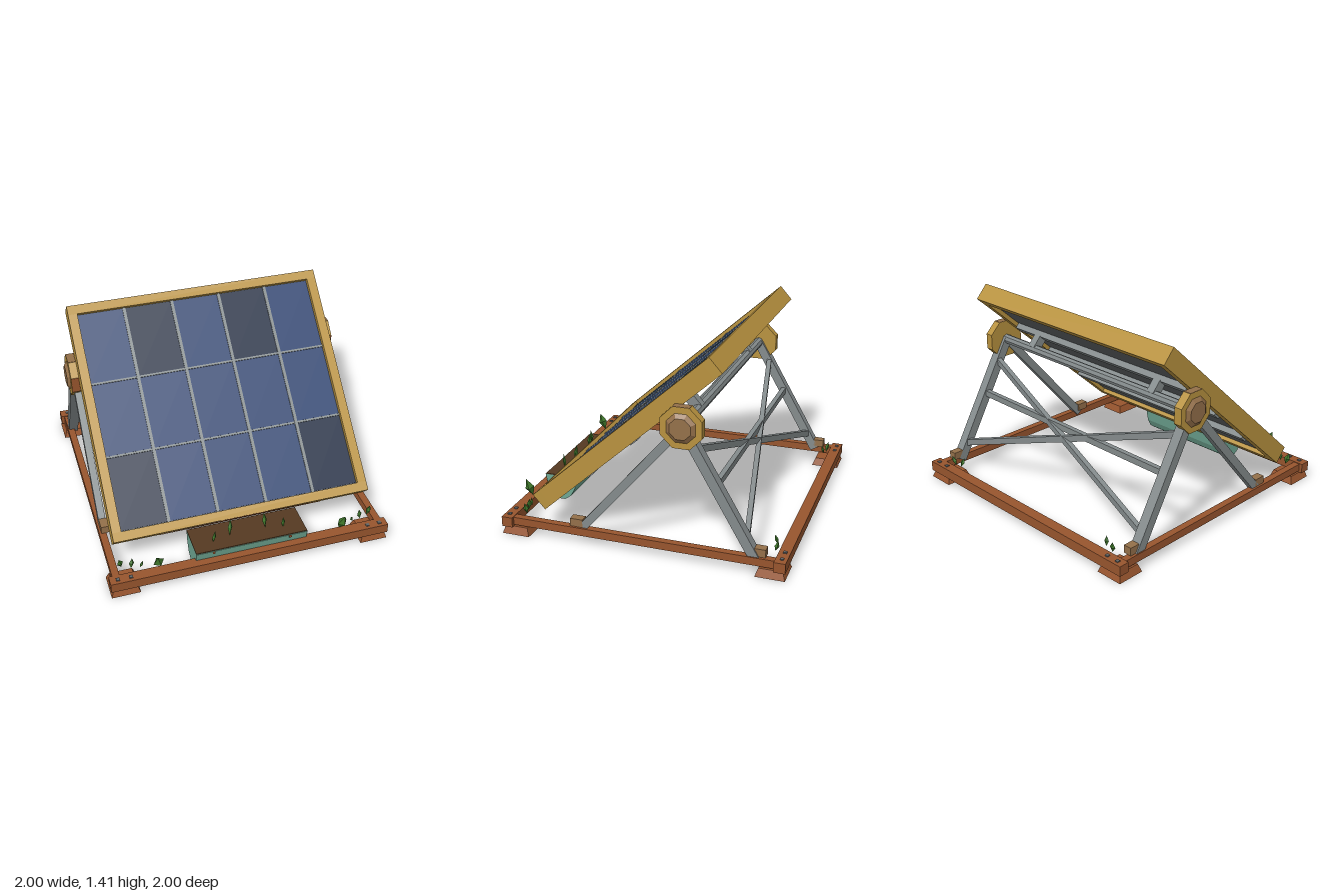
import * as THREE from 'three';

const mat = (name, color, extra = {}) => {
  const m = new THREE.MeshStandardMaterial({ color, flatShading: true, ...extra });
  m.name = name;
  return m;
};

export function createModel() {
  const gold = mat('gold', 0xb8923f);
  const rust = mat('rust', 0x98552e);
  const steel = mat('steel', 0x848b8c);
  const darkSteel = mat('darkSteel', 0x606566);
  const blue = mat('cellBlue', 0x25406f);
  const navy = mat('cellNavy', 0x0c2340);
  const brown = mat('bronze', 0x94704a);
  const teal = mat('teal', 0x6fa793);
  const soil = mat('soil', 0x553a22);
  const green = mat('leafGreen', 0x40792c);

  const model = new THREE.Group();
  model.name = 'solarPanelStand';
  const add = (name, geo, material, x = 0, y = 0, z = 0, parent = model) => {
    const m = new THREE.Mesh(geo, material);
    m.name = name;
    m.position.set(x, y, z);
    parent.add(m);
    return m;
  };
  const box = (name, w, h, d, material, x, y, z, parent) =>
    add(name, new THREE.BoxGeometry(w, h, d), material, x, y, z, parent);
  // Straight bar between two points
  const bar = (name, a, b, w, t, material) => {
    const p = new THREE.Vector3(...a), q = new THREE.Vector3(...b);
    const m = box(name, w, t, p.distanceTo(q), material, ...p.clone().add(q).multiplyScalar(0.5).toArray());
    m.lookAt(q);
    return m;
  };

  // Base frame, feet and bolts
  for (const s of [1, -1]) {
    box('endBeam', 2, 0.072, 0.078, rust, 0, 0.09, s * 0.961);
    box('sideBeam', 0.05, 0.056, 1.86, rust, s * 0.95, 0.093, 0);
    for (const t of [1, -1]) {
      const foot = new THREE.CylinderGeometry(0.08 * Math.SQRT2, 0.1 * Math.SQRT2, 0.056, 4);
      foot.rotateY(Math.PI / 4);
      add('foot', foot, rust, s * 0.9, 0.028, t * 0.9);
      for (const x of [0.855, 0.945])
        box('bolt', 0.024, 0.008, 0.024, darkSteel, s * x, 0.129, t * 0.965);
    }
  }

  // Side legs, clamps and pivots
  const pivotY = 0.947, pivotZ = -0.3;
  for (const s of [1, -1]) {
    bar('frontLeg', [s * 0.935, 0.1, 0.43], [s * 0.935, pivotY, pivotZ], 0.05, 0.058, steel);
    bar('rearLeg', [s * 0.932, 0.1, -0.79], [s * 0.932, pivotY, pivotZ], 0.07, 0.066, steel);
    box('frontClamp', 0.06, 0.056, 0.09, brown, s * 0.93, 0.15, 0.455);
    box('rearClamp', 0.06, 0.056, 0.075, brown, s * 0.927, 0.15, -0.823);

    const disc = new THREE.CylinderGeometry(0.15, 0.15, 0.06, 8);
    disc.rotateY(Math.PI / 8).rotateZ(-Math.PI / 2);
    add('pivotDisc', disc, gold, s * 0.95, pivotY, pivotZ);
    const cap = new THREE.CylinderGeometry(0.075, 0.105, 0.02, 8);
    cap.rotateY(Math.PI / 8).rotateZ(-Math.PI / 2 * s);
    add('pivotCap', cap, brown, s * 0.99, pivotY, pivotZ);
    box('pivotRustPatch', 0.058, 0.112, 0.004, rust, s * 0.95, pivotY, pivotZ + 0.139);
    box('pivotTopPatch', 0.058, 0.004, 0.112, brown, s * 0.95, pivotY + 0.139, pivotZ);
  }

  // Crossbars and diagonal bracing between the rear legs
  const axle = new THREE.CylinderGeometry(0.035, 0.035, 1.86, 8);
  axle.rotateZ(Math.PI / 2);
  add('axle', axle, steel, 0, pivotY, pivotZ);
  bar('crossbar', [-0.92, 0.57, -0.52], [0.92, 0.57, -0.52], 0.035, 0.045, steel);
  bar('braceA', [-0.92, 0.22, -0.725], [0.92, 0.8, -0.39], 0.035, 0.045, steel);
  bar('braceB', [0.92, 0.22, -0.725], [-0.92, 0.8, -0.39], 0.035, 0.045, steel);

  // Tilted panel: local y runs up the slope, local z faces out
  const panel = new THREE.Group();
  panel.name = 'panel';
  panel.position.set(0, 0.803, 0.12);
  panel.rotation.x = -THREE.MathUtils.degToRad(48.1);
  model.add(panel);
  const W = 1.85, H = 1.678, T = 0.13, B = 0.065;
  for (const s of [1, -1]) {
    box('frameRail', W, B, T, gold, 0, s * (H - B) / 2, 0, panel);
    box('frameStile', B, H - 2 * B, T, gold, s * (W - B) / 2, 0, 0, panel);
  }
  box('backing', W - 2 * B, H - 2 * B, 0.065, darkSteel, 0, 0, -0.002, panel);
  const pitchX = 0.35, pitchY = 0.522;
  for (let c = -2; c <= 2; c++) for (let r = -1; r <= 1; r++) {
    const dark = (r === 1 && Math.abs(c) === 1) || (r === -1 && Math.abs(c) === 2);
    const w = Math.abs(c) === 2 ? 0.322 : 0.328;
    box('cell', w, r ? 0.5 : 0.506, 0.008, dark ? navy : blue, c * pitchX - Math.sign(c) * (Math.abs(c) === 2 ? 0.003 : 0),
      r * (pitchY - 0.003), 0.034, panel);
  }
  for (const x of [-1.5, -0.5, 0.5, 1.5])
    box('columnStrip', 0.022, H - 2 * B, 0.016, steel, x * pitchX, 0, 0.037, panel);
  for (const y of [-0.5, 0.5])
    box('rowStrip', W - 2 * B, 0.014, 0.014, steel, 0, y * pitchY, 0.036, panel);
  for (const y of [-0.42, 0, 0.41])
    box('backRail', 1.7, 0.06, 0.045, steel, 0, y, -0.055, panel);
  for (const x of [-0.6, 0.6])
    box('axleBracket', 0.06, 0.07, 0.1, steel, x, 0.41, -0.12, panel);

  // Rust stain along the lower edge of the frame
  const stain = new THREE.Shape([[-0.6, -0.055], [0.6, -0.055], [0.15, 0.06], [-0.15, 0.06]]
    .map(p => new THREE.Vector2(...p)));
  const stainGeo = new THREE.ExtrudeGeometry(stain, { depth: 0.003, bevelEnabled: false });
  stainGeo.rotateX(Math.PI / 2);
  add('rustStain', stainGeo, rust, 0, -H / 2, 0, panel);

  // Planter trough
  const trough = new THREE.Shape([[0.71, 0.19], [0.728, 0.1], [0.76, 0.04], [0.81, 0.006],
    [0.86, 0.006], [0.91, 0.04], [0.942, 0.1], [0.96, 0.19]].map(([z, y]) => new THREE.Vector2(-z, y)));
  const troughGeo = new THREE.ExtrudeGeometry(trough, { depth: 0.8, bevelEnabled: false });
  troughGeo.translate(0, 0, -0.4).rotateY(Math.PI / 2);
  add('planter', troughGeo, teal);
  box('planterSoil', 0.8, 0.008, 0.245, soil, 0, 0.192, 0.833);
  for (const x of [-0.275, 0.275])
    box('planterRivet', 0.018, 0.018, 0.01, rust, x, 0.178, 0.958);

  // Diamond-shaped leaves: x, y centre, z, width, height, lean in x and z
  const leaf = (x, y, z, w, h, leanX, leanZ) => {
    const g = new THREE.OctahedronGeometry(0.5);
    g.scale(w, h, w * 0.8);
    const m = add('leaf', g, green, x, y, z);
    m.rotation.set(leanZ, 0.3, leanX);
  };
  for (const s of [1, -1]) {
    leaf(s * 0.66, 0.2, 0.955, 0.08, 0.14, -s * 0.15, 0.35);
    leaf(s * 0.25, 0.24, 0.875, 0.032, 0.11, s * 0.12, 0.1);
    leaf(s * 0.125, 0.262, 0.838, 0.038, 0.13, s * 0.08, -0.15);
    leaf(s * 0.905, 0.165, 0.86, 0.045, 0.09, -s * 0.2, 0.15);
    leaf(s * 0.83, 0.16, 0.875, 0.04, 0.08, s * 0.15, -0.1);
    leaf(s * 0.765, 0.145, 0.89, 0.025, 0.06, s * 0.4, 0.15);
    leaf(s * 0.84, 0.155, -0.905, 0.04, 0.085, -s * 0.15, -0.2);
    leaf(s * 0.765, 0.16, -0.885, 0.032, 0.07, s * 0.2, 0.3);
  }
  return model;
}
